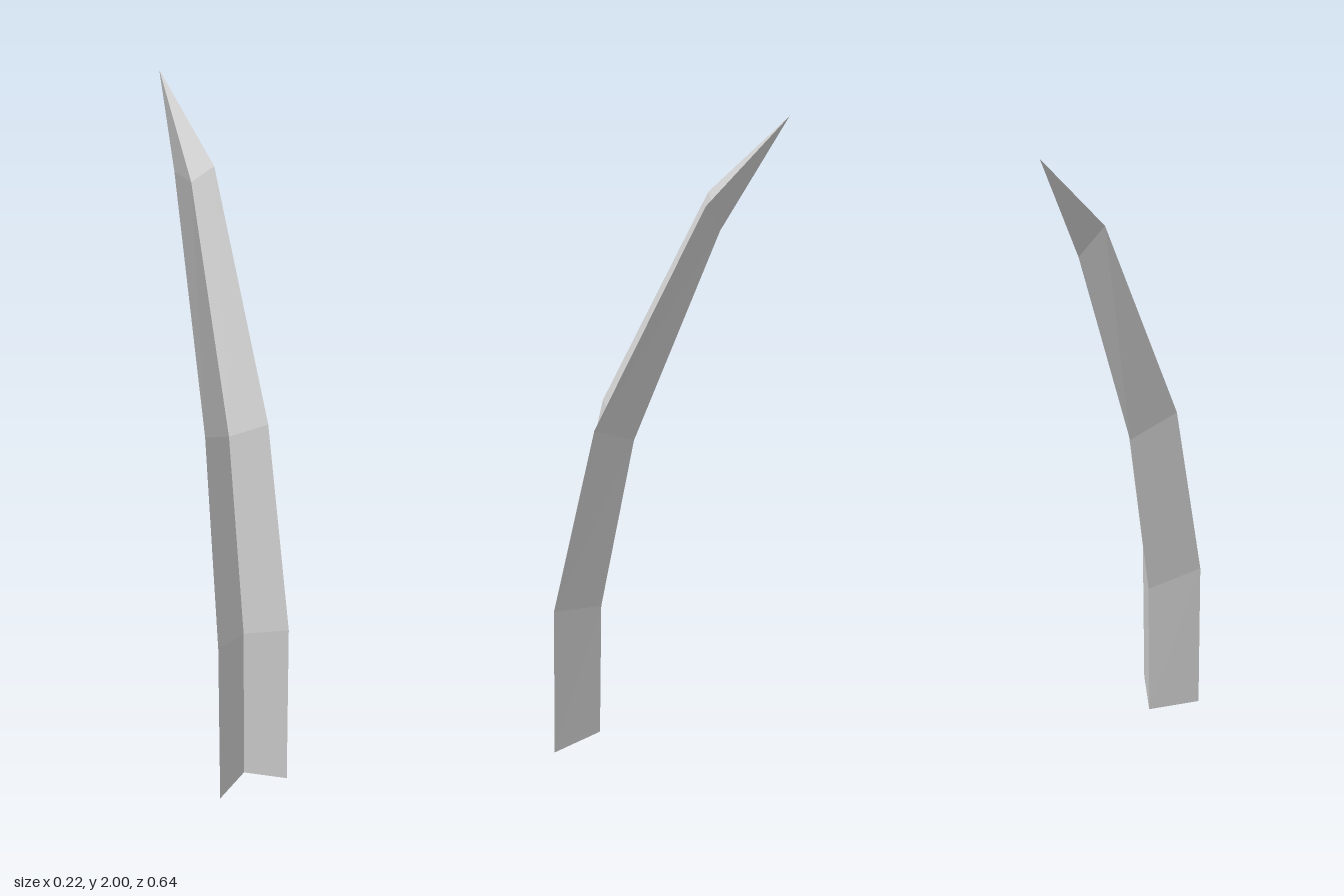
import * as THREE from 'three';

// Cross-sections from the base up: half width, then [y, z] of the side edges,
// the front crease and the back ridge
const SECTIONS = [
  { w: 0.11, edge: [0, 0.32], crease: [0, 0.247], ridge: [0, 0.19] },
  { w: 0.109, edge: [0.55, 0.3], crease: [0.52, 0.23], ridge: [0.5, 0.175] },
  { w: 0.092, edge: [1.155, 0.168], crease: [1.11, 0.115], ridge: [1.08, 0.07] },
  { w: 0.056, edge: [1.788, -0.122], crease: [1.745, -0.145], ridge: [1.705, -0.157] },
];
const TIP = [-0.018, 2, -0.32];

// Corners counter-clockwise from above: right edge, crease, left edge, ridge
const ring = ({ w, edge, crease, ridge }) => [
  [-w, ...edge], [0, ...crease], [w, ...edge], [0, ...ridge],
];

function bladeGeometry() {
  const rings = SECTIONS.map(ring);
  const pos = [];
  const tri = (a, b, c) => pos.push(...a, ...b, ...c);

  // Sides between neighbouring sections
  for (let i = 0; i < rings.length - 1; i++) {
    for (let j = 0; j < 4; j++) {
      const k = (j + 1) % 4;
      const [lo, hi] = [rings[i], rings[i + 1]];
      tri(lo[j], lo[k], hi[k]);
      tri(lo[j], hi[k], hi[j]);
    }
  }

  // Pointed end
  const last = rings[rings.length - 1];
  for (let j = 0; j < 4; j++) tri(last[j], last[(j + 1) % 4], TIP);

  // Arrowhead-shaped base, split along its middle
  const [right, crease, left, ridge] = rings[0];
  tri(right, ridge, crease);
  tri(crease, ridge, left);

  const geometry = new THREE.BufferGeometry();
  geometry.setAttribute('position', new THREE.Float32BufferAttribute(pos, 3));
  geometry.computeVertexNormals();
  return geometry;
}

export function createModel() {
  const group = new THREE.Group();
  group.name = 'grassBlade';
  const material = new THREE.MeshStandardMaterial({ color: 0xcccccc, flatShading: true });
  const blade = new THREE.Mesh(bladeGeometry(), material);
  blade.name = 'blade';
  group.add(blade);
  return group;
}
